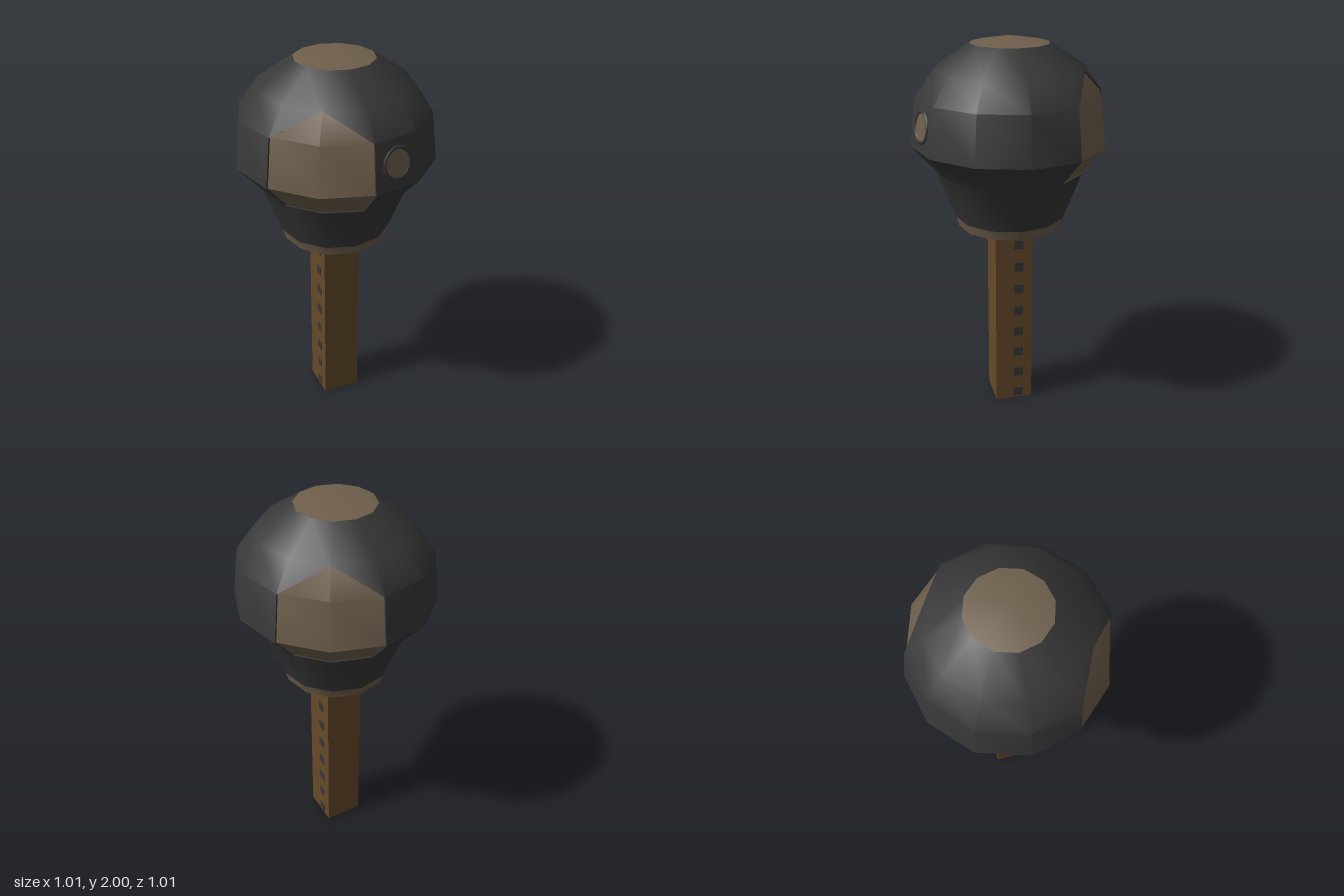
import * as THREE from 'three';
import { toCreasedNormals } from 'three/addons/utils/BufferGeometryUtils.js';

const mat = (name, color, side = THREE.FrontSide) => {
  const m = new THREE.MeshStandardMaterial({ color, side });
  m.name = name;
  return m;
};

// Head profile (radius, height), bottom to top, turned in twelve sides
const PROFILE = [[0, 1.03], [0.27, 1.03], [0.285, 1.08], [0.38, 1.33], [0.505, 1.47],
  [0.475, 1.715], [0.38, 1.845], [0.2, 1.965], [0, 2]];
const SIDES = 12, TURN = 0.03, RECESS = 0.01;

const point = (k, row, inset = 0) => {
  const a = TURN + (k / SIDES) * Math.PI * 2;
  const r = Math.max(PROFILE[row][0] - inset, 0);
  return new THREE.Vector3(r * Math.cos(a), PROFILE[row][1], r * Math.sin(a));
};

// Collects triangles and quads, dropping the empty ones at the poles
function faceSet() {
  const pos = [];
  const tri = (a, b, c) => {
    if (new THREE.Triangle(a, b, c).getArea() > 1e-7) {
      for (const p of [a, b, c]) pos.push(p.x, p.y, p.z);
    }
  };
  const quad = (a, b, c, d) => { tri(a, b, c); tri(a, c, d); };
  const cell = (k, row, inset = 0) => quad(point(k, row, inset), point(k, row + 1, inset),
    point(k + 1, row + 1, inset), point(k + 1, row, inset));
  const mesh = (name, material) => {
    const g = new THREE.BufferGeometry();
    g.setAttribute('position', new THREE.Float32BufferAttribute(pos, 3));
    const m = new THREE.Mesh(toCreasedNormals(g, 0.56), material);
    m.name = name;
    return m;
  };
  return { tri, quad, cell, mesh };
}

export function createModel() {
  const model = new THREE.Group();
  model.name = 'postWithRoundHead';
  const dark = mat('charcoal', 0x383838, THREE.DoubleSide);
  const tan = mat('dullBrown', 0x6f5f4c);
  const wood = mat('postBrown', 0x664a2a, THREE.DoubleSide);

  // Hollow square post, open at the foot
  const post = new THREE.Mesh(
    new THREE.CylinderGeometry(0.1 * Math.SQRT2, 0.1 * Math.SQRT2, 1.03, 4, 1, true, Math.PI / 4)
      .toNonIndexed(), wood);
  post.geometry.computeVertexNormals();
  post.position.y = 0.515;
  post.name = 'post';
  model.add(post);

  // Column of square marks on each side of the post
  for (const s of [1, -1]) {
    for (let i = 0; i < 8; i++) {
      const mark = new THREE.Mesh(new THREE.BoxGeometry(0.004, 0.05, 0.05), dark);
      mark.position.set(s * 0.1, 0.037 + i * 0.128, -s * 0.025);
      mark.name = 'postMark';
      model.add(mark);
    }
  }

  // Head: base ring, shell, cap
  const base = faceSet(), shell = faceSet(), cap = faceSet();
  const panelColumns = [3, 4, 9, 10];
  for (let k = 0; k < SIDES; k++) {
    base.cell(k, 0);
    base.cell(k, 1);
    for (let row = 2; row < 7; row++) {
      const open = panelColumns.includes(k) && row >= 3 && row <= 5;
      if (!open) shell.cell(k, row);
    }
    cap.cell(k, 7);
  }

  // Two opposite recessed panels, each two sides wide with a pointed top
  for (const k of [3, 9]) {
    const panel = faceSet();
    const peak = [k + 1, 6];
    for (const j of [k, k + 1]) {
      panel.cell(j, 3, RECESS);
      panel.cell(j, 4, RECESS);
      panel.tri(point(j, 5, RECESS), point(...peak, RECESS), point(j + 1, 5, RECESS));
    }
    shell.tri(point(k, 5), point(k, 6), point(...peak));
    shell.tri(point(k + 2, 5), point(...peak), point(k + 2, 6));
    model.add(panel.mesh('panel', tan));

    // Rim joining the shell to the panel
    const rim = faceSet();
    const loop = [[k, 3], [k, 4], [k, 5], peak, [k + 2, 5], [k + 2, 4], [k + 2, 3], [k + 1, 3]];
    loop.forEach((p, i) => {
      const q = loop[(i + 1) % loop.length];
      rim.quad(point(...p), point(...q), point(...q, RECESS), point(...p, RECESS));
    });
    model.add(rim.mesh('panelRim', dark));
  }
  model.add(base.mesh('baseRing', tan), shell.mesh('headShell', dark), cap.mesh('topCap', tan));

  // Round opening beside the front panel
  const hole = new THREE.Group();
  hole.name = 'roundOpening';
  const a = TURN + (2.5 / SIDES) * Math.PI * 2;
  hole.position.set(0.472 * Math.cos(a), 1.595, 0.472 * Math.sin(a));
  hole.rotation.set(-0.12, Math.PI / 2 - a, 0, 'YXZ');
  const ring = new THREE.Mesh(new THREE.TorusGeometry(0.075, 0.009, 8, 24), dark);
  ring.name = 'openingRing';
  const disc = new THREE.Mesh(new THREE.CircleGeometry(0.073, 24), tan);
  disc.position.z = 0.003;
  disc.name = 'openingDisc';
  hole.add(ring, disc);
  model.add(hole);

  return model;
}
